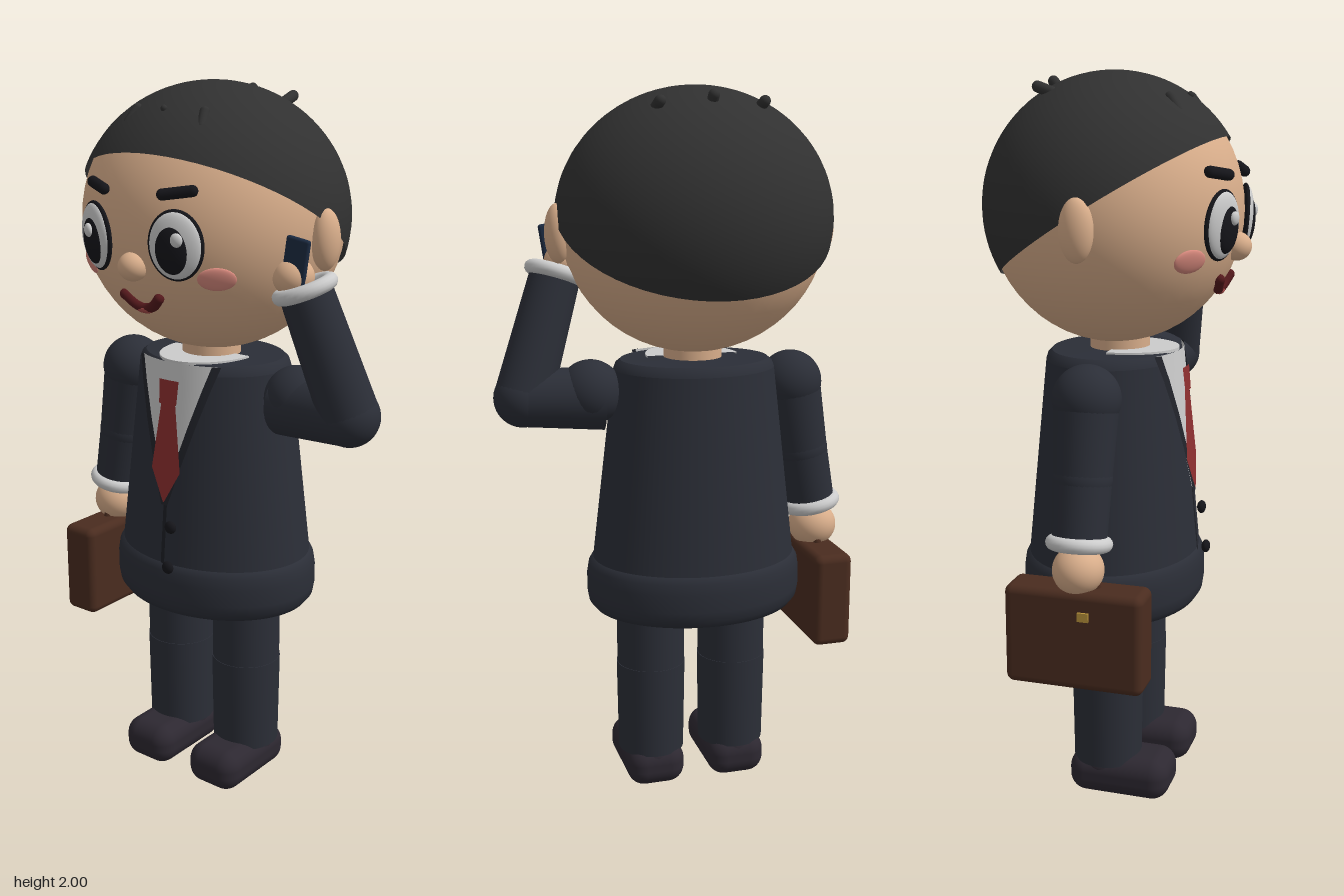
import * as THREE from 'three';
import { RoundedBoxGeometry } from 'three/addons/geometries/RoundedBoxGeometry.js';

const CX = -0.055; // body axis
const V = (x, y, z) => new THREE.Vector3(x, y, z);
const mat = (color, side = THREE.FrontSide) => new THREE.MeshStandardMaterial({ color, side });
const SUIT = mat(0x2b2e37), SKIN = mat(0xd9ae8b), HAIR = mat(0x313131), WHITE = mat(0xdededa);
const BLACK = mat(0x15151a), SHOE = mat(0x2d2831), BROWN = mat(0x4a2c1f), GOLD = mat(0xb8923a);

export function createModel() {
  const root = new THREE.Group();
  const add = (name, geo, material, pos = V(0, 0, 0), parent = root) => {
    const m = new THREE.Mesh(geo, material);
    m.name = name;
    m.position.copy(pos);
    parent.add(m);
    return m;
  };
  const ball = (name, material, pos, rx, ry = rx, rz = rx, parent = root) => {
    const m = add(name, new THREE.SphereGeometry(1, 40, 28), material, pos, parent);
    m.scale.set(rx, ry, rz);
    return m;
  };
  // Turns a y-aligned mesh along the direction a -> b
  const aim = (m, a, b) => m.quaternion.setFromUnitVectors(V(0, 1, 0), b.clone().sub(a).normalize());
  const limb = (name, material, a, b, ra, rb) => {
    const geo = new THREE.CylinderGeometry(rb, ra, a.distanceTo(b), 32);
    return aim(add(name, geo, material, a.clone().lerp(b, 0.5)), a, b);
  };
  const rod = (name, material, a, b, r, parent = root) => {
    const geo = new THREE.CapsuleGeometry(r, a.distanceTo(b), 6, 14);
    return aim(add(name, geo, material, a.clone().lerp(b, 0.5), parent), a, b);
  };
  const cuff = (pos, a, b) => {
    const geo = new THREE.TorusGeometry(0.068, 0.02, 14, 40).rotateX(Math.PI / 2);
    aim(add('shirtCuff', geo, WHITE, pos), a, b);
  };

  // Head and tilted half-dome of hair
  const HC = V(CX, 1.64, -0.01), HR = V(0.367, 0.355, 0.342);
  ball('head', SKIN, HC, HR.x, HR.y, HR.z);
  const hair = add('hair', new THREE.SphereGeometry(1, 56, 24, 0, Math.PI * 2, 0, Math.PI / 2),
    mat(0x313131, THREE.DoubleSide), V(CX, 1.645, -0.012));
  hair.scale.set(0.382, 0.355, 0.352);
  hair.rotation.x = -0.555;
  for (const s of [-1, 1]) {
    rod('backTuft', HAIR, V(CX + s * 0.14, 1.93, -0.11), V(CX + s * 0.14, 1.955, -0.178), 0.015);
    rod('frontTuft', HAIR, V(CX + s * 0.122, 1.895, 0.19), V(CX + s * 0.112, 1.93, 0.165), 0.013);
    ball('ear', SKIN, V(CX + s * 0.375, 1.615, 0.003), 0.036, 0.08, 0.044);
  }
  rod('crownTuft', HAIR, V(CX, 1.95, -0.17), V(CX, 1.97, -0.185), 0.015);
  rod('fringeTuft', HAIR, V(CX, 1.92, 0.185), V(CX, 1.935, 0.19), 0.009);

  // Face parts sit on the head surface and face outwards
  const headZ = (dx, y) => HC.z + HR.z * Math.sqrt(1 - (dx / HR.x) ** 2 - ((y - HC.y) / HR.y) ** 2);
  const onHead = (name, dx, y) => {
    const g = new THREE.Group();
    g.name = name;
    g.position.set(CX + dx, y, headZ(dx, y));
    const n = g.position.clone().sub(HC).divide(HR).divide(HR);
    g.lookAt(n.add(g.position));
    root.add(g);
    return g;
  };
  for (const s of [-1, 1]) {
    const eye = onHead('eye', s * 0.133, 1.615);
    ball('eyeRim', BLACK, V(0, 0, 0), 0.075, 0.091, 0.017, eye);
    ball('eyeWhite', WHITE, V(0, 0, 0.002), 0.07, 0.086, 0.024, eye);
    ball('pupil', BLACK, V(-s * 0.005, -0.008, 0.014), 0.046, 0.063, 0.018, eye);
    ball('eyeHighlight', WHITE, V(0.012, 0.02, 0.03), 0.016, 0.018, 0.01, eye);
    const brow = onHead('eyebrow', s * 0.13, 1.742);
    rod('browHair', BLACK, V(-s * 0.038, -0.006, 0.008), V(s * 0.038, 0.006, 0.004), 0.015, brow);
    ball('cheek', mat(0xd98a7e), V(0, 0, 0), 0.05, 0.032, 0.01, onHead('cheekSpot', s * 0.214, 1.53));
  }
  ball('nose', SKIN, V(CX, 1.55, 0.32), 0.04, 0.038, 0.04);
  const smile = [-1, -0.5, 0, 0.5, 1].map((t) => {
    const y = 1.468 - 0.033 * (1 - t * t);
    return V(CX + t * 0.058, y, headZ(t * 0.058, y) + 0.005);
  });
  add('mouth', new THREE.TubeGeometry(new THREE.CatmullRomCurve3(smile), 24, 0.014, 10), mat(0x54191c));
  ball('lip', mat(0xa54a48), V(CX, 1.432, headZ(0, 1.432) + 0.01), 0.03, 0.01, 0.012);
  for (const i of [0, 4]) ball('mouthCorner', mat(0x54191c), smile[i], 0.014);

  // Jacket body and hem: an oval lathe
  add('neck', new THREE.CylinderGeometry(0.082, 0.082, 0.14, 36), SKIN, V(CX, 1.27, 0));
  const ASPECT = 1.24, TZ = -0.015;
  const jacketR = (y) => 0.235 - (y - 0.7) * 0.095;
  const oval = (name, pts) => {
    const m = add(name, new THREE.LatheGeometry(pts.map((p) => new THREE.Vector2(...p)), 72), SUIT, V(CX, 0, TZ));
    m.scale.x = ASPECT;
  };
  oval('jacketBody', [[jacketR(0.68), 0.68], [jacketR(0.9), 0.9], [jacketR(1.1), 1.1],
    [jacketR(1.24), 1.24], [jacketR(1.24), 1.24], [0.179, 1.255], [0.168, 1.266], [0.168, 1.266], [0, 1.268]]);
  oval('jacketHem', [[0, 0.545], [0.21, 0.545], [0.21, 0.545], [0.233, 0.552], [0.246, 0.572], [0.25, 0.6], [0.25, 0.65],
    [0.246, 0.68], [0.238, 0.697], [0.228, 0.703]]);

  // Strips hugging the jacket front; each row is [y, left, right] from the axis
  const strip = (name, color, rows, off) => {
    const N = 10, pos = [], idx = [];
    rows.forEach(([y, a, b], r) => {
      for (let c = 0; c <= N; c++) {
        const dx = a + (b - a) * c / N;
        pos.push(CX + dx, y, TZ + Math.sqrt(jacketR(y) ** 2 - (dx / ASPECT) ** 2) + off);
        if (r && c) {
          const k = r * (N + 1) + c, u = k - N - 1;
          idx.push(u - 1, k - 1, k, u - 1, k, u);
        }
      }
    });
    const geo = new THREE.BufferGeometry();
    geo.setAttribute('position', new THREE.Float32BufferAttribute(pos, 3));
    geo.setIndex(idx);
    geo.computeVertexNormals();
    add(name, geo, mat(color, THREE.DoubleSide));
  };
  const vee = [1.268, 1.2, 1.1, 1.0, 0.87].map((y) => [y, 0.13 * (y - 0.87) / 0.398]);
  strip('shirtFront', 0xdededa, vee.map(([y, w]) => [y, -w, w]), 0.006);
  for (const s of [-1, 1])
    strip('lapel', 0x22242b, vee.map(([y, w]) => [y, s * w - 0.011, s * w + 0.011]), 0.011);
  strip('tieKnot', 0x8e2f30, [[1.222, -0.034, 0.034], [1.155, -0.03, 0.03]], 0.018);
  strip('tie', 0x8e2f30, [[1.16, -0.024, 0.024], [0.97, -0.05, 0.05], [0.88, -0.002, 0.002]], 0.015);
  strip('placket', 0x1d1f25, [[0.88, -0.006, 0.006], [0.7, -0.006, 0.006]], 0.006);
  const collar = add('shirtTop', new THREE.CylinderGeometry(1, 1, 0.008, 36, 1, false, -Math.PI / 2, Math.PI),
    mat(0xdededa, THREE.DoubleSide), V(CX, 1.268, 0));
  collar.scale.set(0.13, 1, 0.165);
  for (const y of [0.815, 0.7]) ball('button', BLACK, V(CX + 0.033, y, y > 0.8 ? 0.228 : 0.242), 0.018, 0.018, 0.012);

  // Hanging arm with briefcase
  const sR = V(-0.348, 1.18, 0), eR = V(-0.385, 0.98, 0), wR = V(-0.418, 0.815, 0);
  ball('rightShoulder', SUIT, sR, 0.09);
  limb('rightUpperArm', SUIT, sR, eR, 0.086, 0.077);
  ball('rightElbow', SUIT, eR, 0.078);
  limb('rightForearm', SUIT, eR, wR, 0.077, 0.072);
  cuff(wR, eR, wR);
  ball('rightHand', SKIN, V(-0.427, 0.745, 0), 0.07, 0.066, 0.068);
  add('briefcase', new RoundedBoxGeometry(0.112, 0.272, 0.376, 4, 0.022), BROWN, V(-0.425, 0.566, -0.002));
  add('briefcaseHandle', new THREE.TorusGeometry(0.05, 0.012, 10, 24, Math.PI).rotateY(Math.PI / 2), BROWN, V(-0.425, 0.695, 0));
  for (const s of [-1, 1])
    add('clasp', new THREE.BoxGeometry(0.012, 0.024, 0.03), GOLD, V(-0.425 + s * 0.056, 0.638, 0.03));

  // Raised arm holding a phone
  const sL = V(0.238, 1.18, 0), eL = V(0.422, 1.168, 0.025), wL = V(0.313, 1.5, 0.083);
  ball('leftShoulder', SUIT, sL, 0.09);
  limb('leftUpperArm', SUIT, V(0.2, 1.16, 0), eL, 0.088, 0.08);
  ball('leftElbow', SUIT, eL, 0.081);
  limb('leftForearm', SUIT, eL, wL, 0.08, 0.07);
  cuff(wL, eL, wL);
  ball('leftHand', SKIN, V(0.288, 1.53, 0.098), 0.054, 0.05, 0.055);
  const phone = add('phone', new RoundedBoxGeometry(0.07, 0.12, 0.016, 3, 0.007), mat(0x1c2b42), V(0.31, 1.575, 0.12));
  phone.rotation.z = -0.15;

  // Legs and shoes
  for (const s of [-1, 1]) {
    const x = -0.053 + s * 0.123;
    limb('upperLeg', SUIT, V(x, 0.37, 0), V(x, 0.58, 0), 0.098, 0.098);
    limb('lowerLeg', SUIT, V(x, 0.1, 0), V(x, 0.37, 0), 0.096, 0.1);
    add('shoe', new RoundedBoxGeometry(0.17, 0.12, 0.29, 6, 0.05), SHOE, V(x, 0.06, 0.046));
    ball('shoeAnkle', SHOE, V(x, 0.085, -0.005), 0.083, 0.055, 0.09);
  }
  return root;
}
